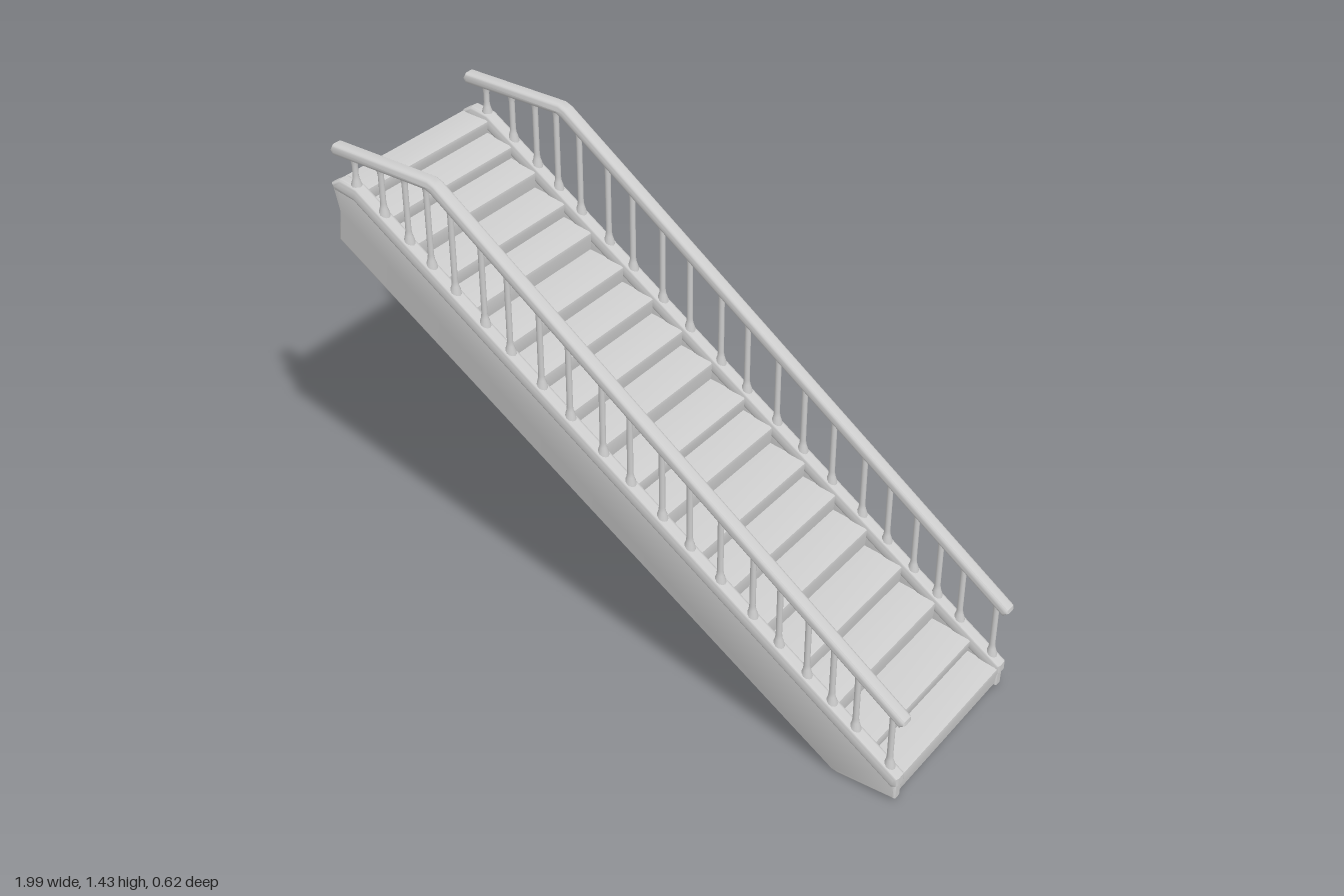
import * as THREE from 'three';
import { toCreasedNormals } from 'three/addons/utils/BufferGeometryUtils.js';

const SIDE_Z = 0.286; // centre line of stringers and handrails

export function createModel() {
  const group = new THREE.Group();
  const material = new THREE.MeshStandardMaterial({ color: 0xcccccc, side: THREE.DoubleSide });

  const add = (name, geometry, x = 0, y = 0, z = 0) => {
    const mesh = new THREE.Mesh(geometry, material);
    mesh.name = name;
    mesh.position.set(x, y, z);
    group.add(mesh);
  };

  // Extrude a side outline across z with softened edges, centred on z = 0
  const slab = (points, width, bevel) => {
    const shape = new THREE.Shape(points.map(([x, y]) => new THREE.Vector2(x, y)));
    const geometry = new THREE.ExtrudeGeometry(shape, {
      depth: width - 2 * bevel, bevelEnabled: bevel > 0,
      bevelThickness: bevel, bevelSize: bevel, bevelOffset: -bevel, bevelSegments: 4,
    });
    geometry.translate(0, 0, -width / 2 + bevel);
    return toCreasedNormals(geometry, 0.7);
  };

  // Height of the sloping stringer top and of the handrail's centre
  const stringerTop = (x) => Math.min(1.315, 0.09 + 0.652 * (0.98 - x));
  const railY = (x) => (x < -0.61 ? 1.415 : 1.412 - (x + 0.61) * 0.702);

  // Folded stair flight: treads and risers as one thin stepped sheet
  const noses = [
    0.98, 0.885, 0.76, 0.64, 0.515, 0.4, 0.29, 0.17, 0.07,
    -0.05, -0.16, -0.27, -0.38, -0.5, -0.6, -0.71, -0.8, -0.89,
  ];
  const upper = [], lower = [];
  let base = 0.015;
  noses.forEach((front, i) => {
    const y = stringerTop(front) - 0.008;
    const last = i === noses.length - 1;
    const rear = last ? 1.305 : y + 0.014; // treads rise slightly to the back
    upper.push([front - 0.008, base], [front, y - 0.014], [front - 0.001, y - 0.004], [front - 0.007, y]);
    lower.push([front - 0.027, i ? base - 0.018 : base], [front - 0.024, y - 0.02]);
    if (last) {
      upper.push([-0.99, rear]);
      lower.push([-0.96, y - 0.02], [-0.965, y - 0.04], [-0.985, y - 0.04]);
    }
    base = rear;
  });
  add('stairFlight', slab([...upper, ...lower.reverse()], 0.56, 0));

  // Side stringers with a flat foot
  const stringerGeometry = slab([
    [0.978, 0.008], [0.98, 0.085], [0.965, 0.1], [-0.9, 1.31], [-0.97, 1.32],
    [-0.995, 1.3], [-0.975, 1.22], [-0.988, 1.12], [0.77, 0.005], [0.79, 0],
  ], 0.036, 0.01);

  // Rounded cap swelling along the top of each stringer
  const capGeometry = slab([
    [0.985, 0.062], [0.985, 0.09], [-0.895, 1.316], [-0.96, 1.326],
    [-0.995, 1.305], [-0.985, 1.285], [-0.91, 1.272], [0.965, 0.05],
  ], 0.046, 0.013);

  // Handrails: sloping run bending into a level top
  const railGeometry = slab([
    [0.975, 0.278], [0.992, 0.292], [0.99, 0.305], [-0.59, 1.423], [-0.615, 1.433],
    [-0.975, 1.433], [-0.985, 1.415], [-0.975, 1.4], [-0.624, 1.4], [-0.607, 1.392],
  ], 0.047, 0.0125);

  const balusterXs = [
    -0.91, -0.81, -0.72, -0.64, -0.555, -0.45, -0.36, -0.25, -0.15, -0.035,
    0.06, 0.17, 0.265, 0.37, 0.48, 0.57, 0.665, 0.75, 0.83, 0.945,
  ];
  // Slim round baluster that flares where it meets stringer and rail
  const baluster = (height) => new THREE.LatheGeometry([
    [0.019, 0], [0.016, 0.02], [0.011, 0.035], [0.009, 0.05],
    [0.009, height - 0.035], [0.011, height - 0.02], [0.015, height],
  ].map(([r, y]) => new THREE.Vector2(r, y)), 12);

  for (const [side, sign] of [['front', 1], ['back', -1]]) {
    const z = sign * SIDE_Z;
    add(side + 'Stringer', stringerGeometry, 0, 0, z);
    add(side + 'StringerCap', capGeometry, 0, 0, z);
    add(side + 'Handrail', railGeometry, 0, 0, z);
    balusterXs.forEach((x, i) => {
      const bottom = stringerTop(x) - 0.015;
      add(side + 'Baluster' + (i + 1), baluster(railY(x) - bottom), x, bottom, z);
    });
  }
  return group;
}
